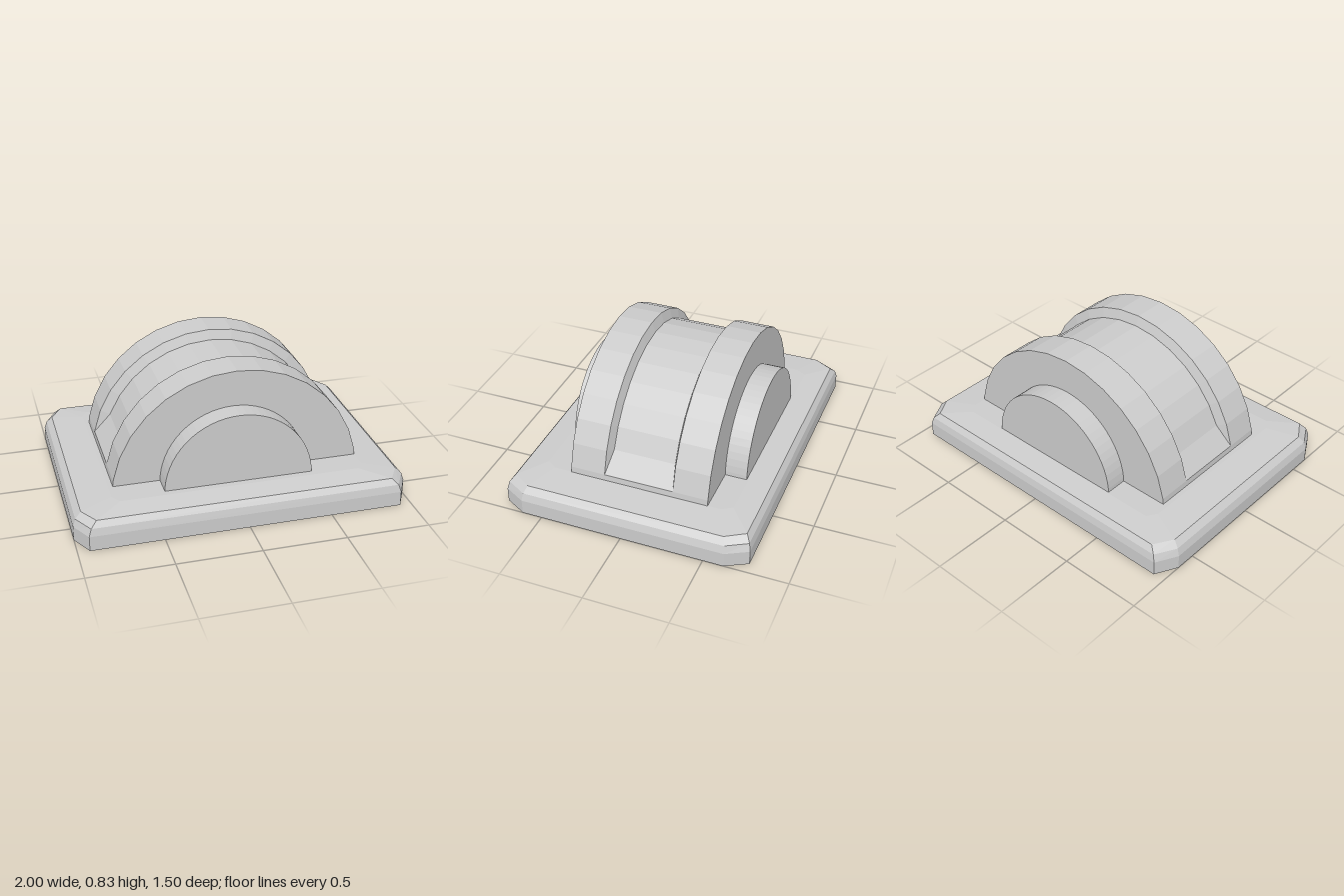
import * as THREE from 'three';

const grey = new THREE.MeshStandardMaterial({ color: 0xcccccc, flatShading: true });

// Skin a closed, capped solid over rings ordered counter-clockwise about the loft axis
function loft(rings) {
  const n = rings[0].length, last = (rings.length - 1) * n, index = [];
  for (let i = 0; i < rings.length - 1; i++) {
    for (let j = 0; j < n; j++) {
      const k = (j + 1) % n, a = i * n + j, b = i * n + k;
      index.push(a, b, b + n, a, b + n, a + n);
    }
  }
  for (let j = 1; j < n - 1; j++) {
    index.push(0, j + 1, j, last, last + j, last + j + 1);
  }
  const geometry = new THREE.BufferGeometry();
  geometry.setAttribute('position', new THREE.Float32BufferAttribute(rings.flat(2), 3));
  geometry.setIndex(index);
  const flat = geometry.toNonIndexed();
  flat.computeVertexNormals();
  return flat;
}

// Rectangle with cut corners at height y
function plateRing(y, hx, hz, cutX, cutZ) {
  const cx = hx - cutX, cz = hz - cutZ;
  return [[hx, cz], [hx, -cz], [cx, -hz], [-cx, -hz],
    [-hx, -cz], [-hx, cz], [-cx, hz], [cx, hz]].map(([x, z]) => [x, y, z]);
}

// Half of a 32-sided circle; the lowest facets keep the outer size
// so that the groove ends in a sloping ledge
const outerR = 0.758, grooveR = 0.698;
function archRing(z, innerZ = z, r = outerR) {
  const ring = [];
  for (let k = 0; k <= 16; k++) {
    const foot = k < 2 || k > 14;
    const a = k * Math.PI / 16, rad = foot ? outerR : r;
    ring.push([rad * Math.cos(a), 0.077 + rad * Math.sin(a), foot ? z : innerZ]);
  }
  return ring;
}

export function createModel() {
  const model = new THREE.Group();
  const add = (name, geometry, x = 0, y = 0, z = 0) => {
    const mesh = new THREE.Mesh(geometry, grey);
    mesh.name = name;
    mesh.position.set(x, y, z);
    model.add(mesh);
  };

  // Base plate with a rounded rim and slightly raised top
  add('basePlate', loft([
    plateRing(0, 1, 0.752, 0.07, 0.13),
    plateRing(0.09, 1, 0.752, 0.07, 0.13),
    plateRing(0.135, 0.985, 0.742, 0.07, 0.125),
    plateRing(0.17, 0.95, 0.716, 0.07, 0.115),
    plateRing(0.188, 0.76, 0.58, 0.04, 0.06),
  ]));

  // Large arch with a tapered groove round its middle
  add('groovedArch', loft([
    archRing(-0.425),
    archRing(-0.2125),
    archRing(-0.2125, -0.19, grooveR),
    archRing(0.2125, 0.19, grooveR),
    archRing(0.2125),
    archRing(0.425),
  ]), 0.015, 0, -0.015);

  // Smaller half-round bosses on both ends
  const half = new THREE.Shape();
  half.absarc(0, 0, 0.447, 0, Math.PI, false);
  half.closePath();
  const boss = new THREE.ExtrudeGeometry(half, { depth: 0.16, bevelEnabled: false, curveSegments: 16 });
  add('frontBoss', boss, -0.006, 0.17, 0.38);
  add('backBoss', boss, 0.015, 0.17, -0.572);

  return model;
}
